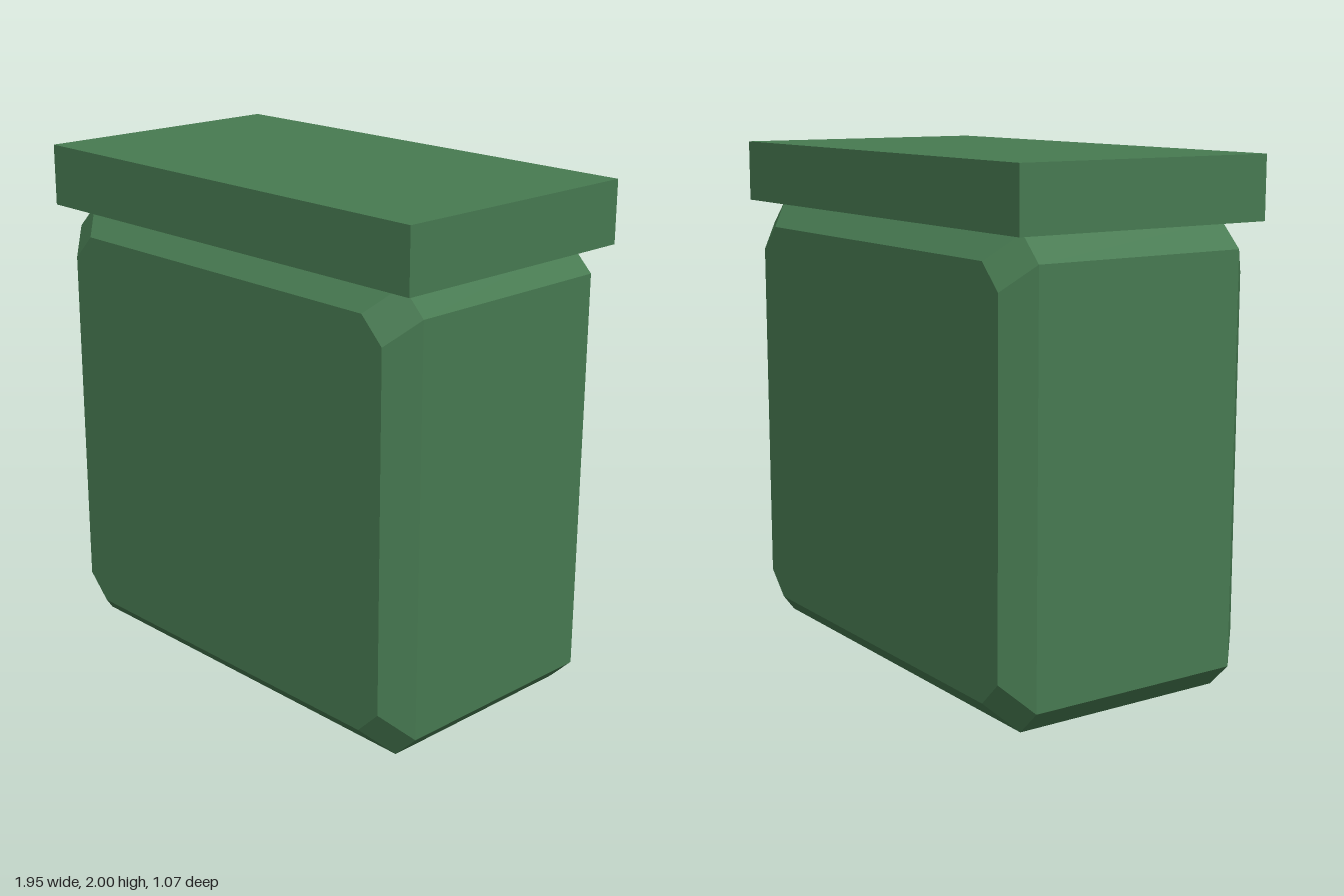
import * as THREE from 'three';
import { ConvexGeometry } from 'three/addons/geometries/ConvexGeometry.js';

const green = new THREE.MeshStandardMaterial({ color: 0x477a51 });
green.name = 'green';

const HEIGHT = 1.76, HALF_DEPTH = 0.537, BEVEL = 0.097;

// Octagonal cross-section: a rectangle with its corners cut by BEVEL
function section(halfW, halfH, z) {
  const points = [];
  for (const sx of [-1, 1]) for (const sy of [-1, 1]) {
    points.push(
      new THREE.Vector3(sx * halfW, sy * (halfH - BEVEL), z),
      new THREE.Vector3(sx * (halfW - BEVEL), sy * halfH, z));
  }
  return points;
}

export function createModel() {
  const model = new THREE.Group();
  model.name = 'lidded container';

  // Body: chamfered block, its front and back faces inset by the bevel
  const points = [];
  for (const s of [-1, 1]) {
    points.push(
      ...section(0.95, HEIGHT / 2, s * (HALF_DEPTH - BEVEL)),
      ...section(0.95 - BEVEL, HEIGHT / 2 - BEVEL, s * HALF_DEPTH));
  }
  const body = new THREE.Mesh(new ConvexGeometry(points), green);
  body.name = 'body';
  body.position.y = HEIGHT / 2;
  model.add(body);

  // Lid: plain slab overhanging the bevelled top
  const lid = new THREE.Mesh(new THREE.BoxGeometry(1.95, 2 - HEIGHT, 2 * HALF_DEPTH), green);
  lid.name = 'lid';
  lid.position.y = (2 + HEIGHT) / 2;
  model.add(lid);

  return model;
}
